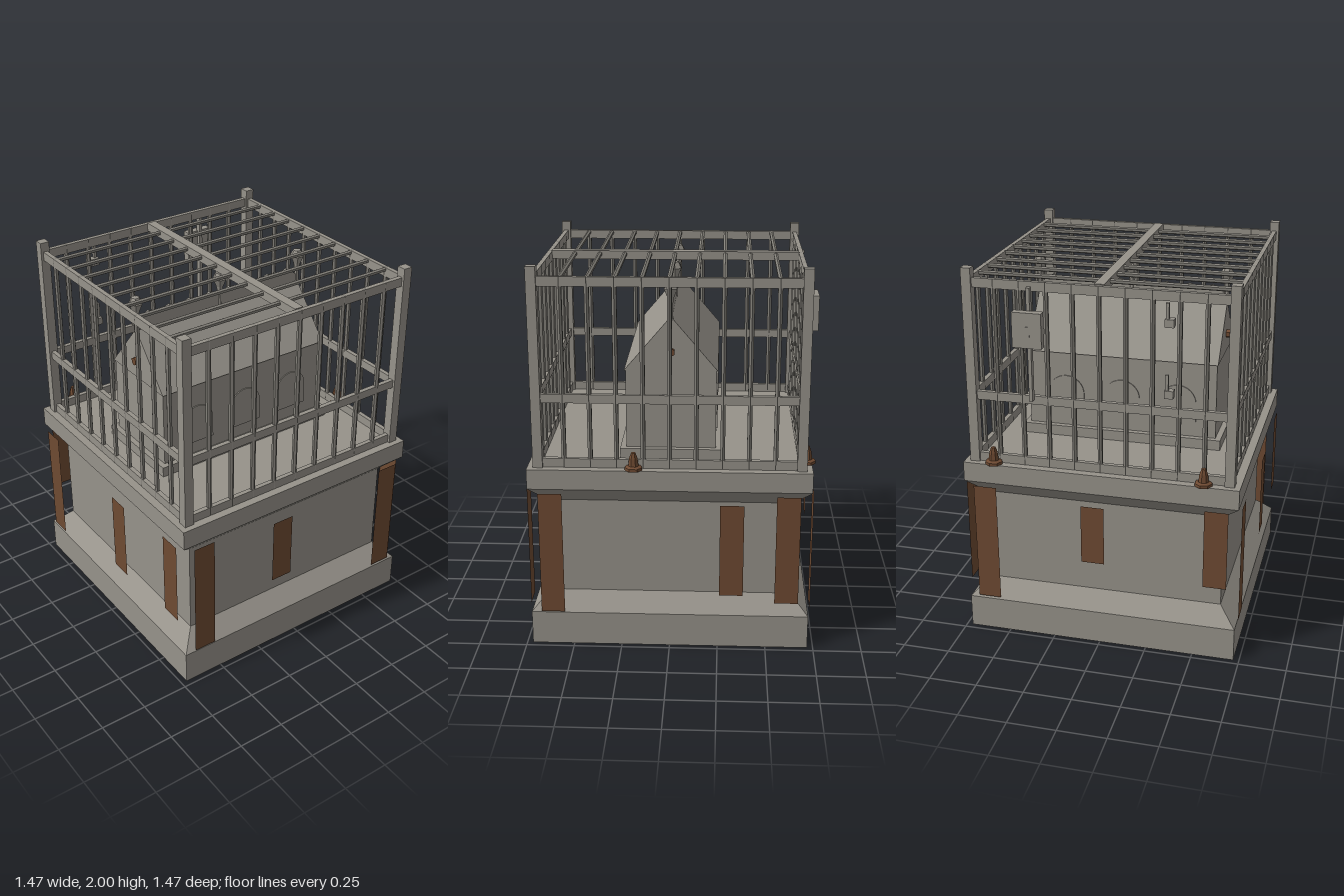
import * as THREE from 'three';

export function createModel() {
  const root = new THREE.Group();
  const mat = (name, color, extra = {}) => {
    const m = new THREE.MeshStandardMaterial({ color, flatShading: true, side: THREE.DoubleSide, ...extra });
    m.name = name;
    return m;
  };
  const stone = mat('weathered grey', 0x96928a);
  const iron = mat('bar grey', 0x827f78);
  const rust = mat('rust brown', 0x6e4a32);

  const add = (name, geo, material, x = 0, y = 0, z = 0, parent = root) => {
    const m = new THREE.Mesh(geo, material);
    m.name = name;
    m.position.set(x, y, z);
    parent.add(m);
    return m;
  };
  // Box given by its centre in x and z and its lower and upper y
  const box = (name, w, d, y0, y1, x, z, material = stone, parent = root) =>
    add(name, new THREE.BoxGeometry(w, y1 - y0, d), material, x, (y0 + y1) / 2, z, parent);
  // Square frustum with half widths b (bottom) and t (top)
  const frustum = (name, b, t, y0, y1, open = false) => {
    const g = new THREE.CylinderGeometry(t * Math.SQRT2, b * Math.SQRT2, y1 - y0, 4, 1, open);
    g.rotateY(Math.PI / 4);
    return add(name, g, stone, 0, (y0 + y1) / 2, 0);
  };

  // Pedestal, hollow underneath the foot
  frustum('pedestalFoot', 0.72, 0.72, 0, 0.18, true);
  frustum('footSlope', 0.72, 0.63, 0.18, 0.27);
  frustum('pedestalBody', 0.63, 0.63, 0.27, 0.78);
  frustum('capSlope', 0.63, 0.72, 0.78, 0.87);
  frustum('pedestalCap', 0.72, 0.72, 0.87, 0.975);

  // Rust streaks: [centre along the face as seen from outside, bottom, top]
  const streaks = [
    [[-0.605, 0.21, 0.85], [0.103, 0.35, 0.8], [0.603, 0.385, 0.85]],   // front
    [[-0.605, 0.195, 0.85], [-0.112, 0.43, 0.8], [0.603, 0.205, 0.85]], // +x side
    [[-0.605, 0.19, 0.85], [0.318, 0.3, 0.8], [0.603, 0.26, 0.85]],     // back
    [[-0.605, 0.2, 0.85], [-0.03, 0.48, 0.8], [0.61, 0.42, 0.85]],      // -x side
  ];
  streaks.forEach((list, i) => {
    const face = new THREE.Group();
    face.name = 'rustStreaks';
    face.rotation.y = i * Math.PI / 2;
    root.add(face);
    for (const [u, y0, y1] of list)
      add('rustStreak', new THREE.PlaneGeometry(0.122, y1 - y0), rust, u, (y0 + y1) / 2, 0.73, face);
  });

  // Cage posts, rails and bars
  const cage = new THREE.Group();
  cage.name = 'cage';
  root.add(cage);
  for (const sx of [-1, 1]) for (const sz of [-1, 1])
    box('cornerPost', 0.05, 0.05, 0.975, 2, sx * 0.665, sz * 0.665, stone, cage);
  const barGeo = new THREE.CylinderGeometry(0.0135, 0.0135, 0.975, 6);
  const roofBarGeo = new THREE.CylinderGeometry(0.0125, 0.0125, 1.33, 6).rotateX(Math.PI / 2);
  for (let side = 0; side < 4; side++) {
    const panel = new THREE.Group();
    panel.name = 'cageSide';
    panel.rotation.y = side * Math.PI / 2;
    cage.add(panel);
    for (const [y0, y1] of [[0.975, 1.022], [1.315, 1.36], [1.902, 1.95]])
      box('rail', 1.29, 0.024, y0, y1, 0, 0.665, stone, panel);
    for (let i = -4; i <= 4; i++)
      add('bar', barGeo, iron, i * 0.133, 1.4625, 0.665, panel);
  }
  for (let i = -4; i <= 4; i++) add('roofBar', roofBarGeo, iron, i * 0.133, 1.938, 0, cage);
  box('roofCrossRail', 1.31, 0.05, 1.91, 1.955, 0, 0, stone, cage);

  // Lock box, strip and hinge on the -x side
  box('lockBox', 0.042, 0.15, 1.63, 1.81, -0.718, -0.345);
  box('lockStrip', 0.03, 0.018, 1.34, 1.925, -0.69, -0.345);
  box('lockKnob', 0.008, 0.03, 1.69, 1.74, -0.738, -0.345);
  for (const y of [1.42, 1.78]) {
    box('hinge', 0.04, 0.045, y, y + 0.04, -0.687, 0.355);
    box('hingePin', 0.02, 0.016, y, y + 0.12, -0.695, 0.345);
  }

  // Shrine: step, walls with gabled roof, arches
  const shrine = new THREE.Group();
  shrine.name = 'shrine';
  root.add(shrine);
  box('shrineStep', 0.52, 1.08, 0.975, 1.03, 0, 0, stone, shrine);
  box('shrineWalls', 0.46, 1.02, 1.03, 1.44, 0, 0, stone, shrine);
  const gable = new THREE.Shape();
  gable.moveTo(-0.238, 1.44);
  gable.lineTo(0.238, 1.44);
  gable.lineTo(0, 1.72);
  const roofGeo = new THREE.ExtrudeGeometry(gable, { depth: 1.03, bevelEnabled: false });
  add('shrineRoof', roofGeo, stone, 0, 0, -0.515, shrine);

  const arch = new THREE.Shape();
  arch.moveTo(-0.098, 0);
  arch.lineTo(0.098, 0);
  arch.lineTo(0.098, 0.115);
  arch.absarc(0, 0.115, 0.098, 0, Math.PI, false);
  arch.closePath();
  const archGeo = new THREE.ExtrudeGeometry(arch, { depth: 0.006, bevelEnabled: false, curveSegments: 8 });
  for (const s of [-1, 1]) for (const z of [-0.305, 0, 0.305])
    add('archPanel', archGeo, stone, s * 0.23, 1.1, z, shrine).rotation.y = s * Math.PI / 2;

  // Scalloped ridge comb
  const comb = new THREE.Shape();
  comb.moveTo(-0.5, 1.68);
  comb.lineTo(0.5, 1.68);
  const teeth = 8;
  for (let i = 0; i <= teeth; i++) {
    const z = 0.5 - i / teeth;
    comb.lineTo(z, i === 0 || i === teeth ? 1.76 : 1.78);
    if (i < teeth) comb.lineTo(z - 0.5 / teeth, 1.803);
  }
  const combGeo = new THREE.ExtrudeGeometry(comb, { depth: 0.012, bevelEnabled: false });
  combGeo.translate(0, 0, -0.006).rotateY(Math.PI / 2);
  add('ridgeComb', combGeo, stone, 0, 0, 0, shrine);

  // Finials along the ridge and bolts in the gables
  const finialGeo = new THREE.LatheGeometry(
    [[0, 1.7], [0.014, 1.7], [0.012, 1.78], [0.02, 1.82], [0.038, 1.862], [0.022, 1.895], [0, 1.902]]
      .map(([r, y]) => new THREE.Vector2(r, y)), 6);
  for (const z of [-0.51, 0, 0.51]) add('finial', finialGeo, stone, 0, 0, z, shrine);
  const boltGeo = new THREE.CylinderGeometry(0.022, 0.022, 0.03, 6).rotateX(Math.PI / 2);
  for (const s of [-1, 1]) add('gableBolt', boltGeo, rust, 0, 1.54, s * 0.52, shrine);

  // Rusty anchor bolts standing on the cap
  const anchorGeo = new THREE.LatheGeometry(
    [[0, 0], [0.045, 0], [0.045, 0.015], [0.027, 0.022], [0.022, 0.062], [0.012, 0.09], [0, 0.092]]
      .map(([r, y]) => new THREE.Vector2(r, y)), 7);
  for (const [x, z] of [[-0.695, -0.56], [-0.695, 0.535], [0.18, -0.695]])
    add('anchorBolt', anchorGeo, rust, x, 0.975, z);

  return root;
}
